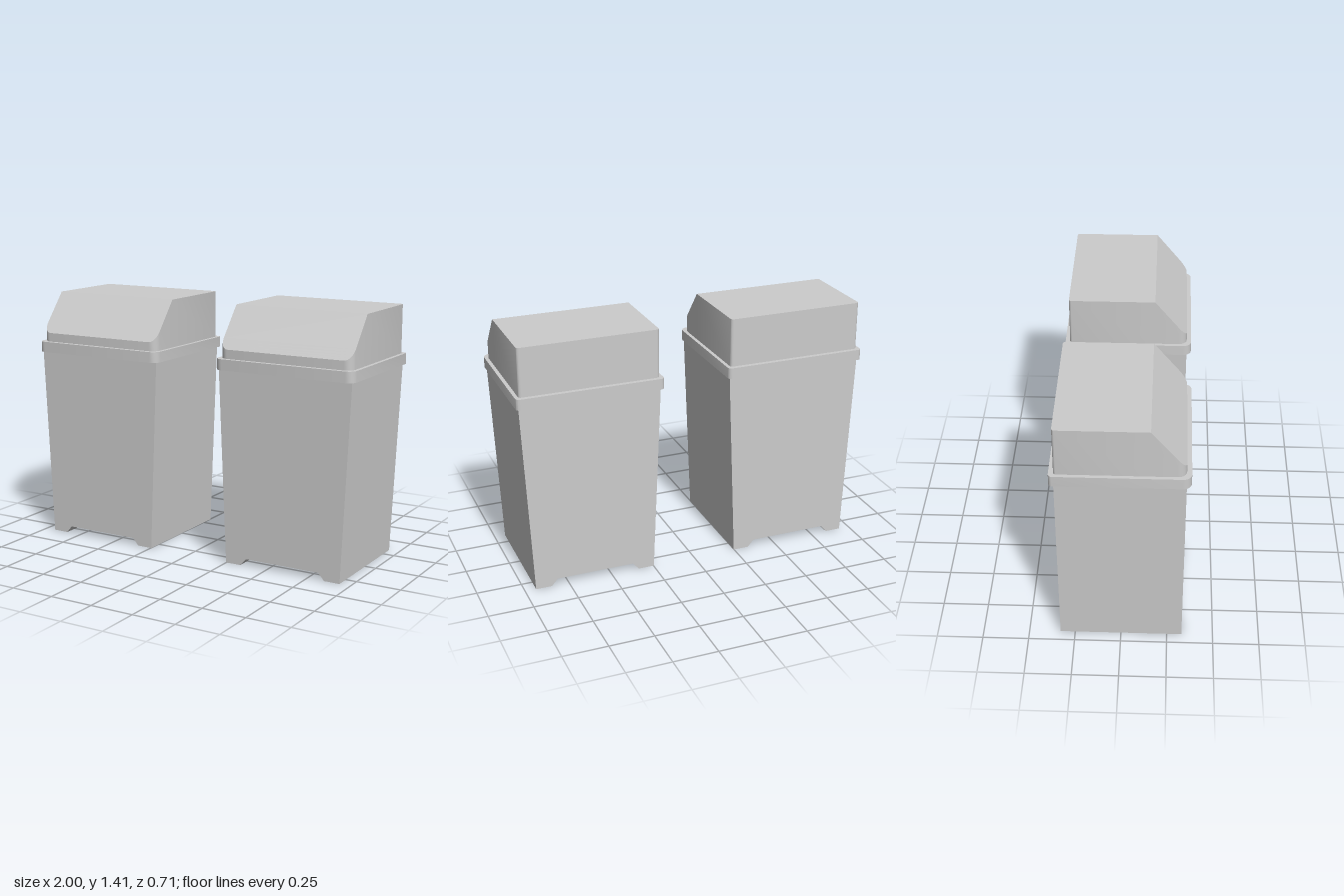
import * as THREE from 'three';
import { toCreasedNormals } from 'three/addons/utils/BufferGeometryUtils.js';

const material = new THREE.MeshStandardMaterial({ color: 0xcccccc });

// Closed block lofted from back to front; rows are [z, halfWidth, topY]
function loft(rows, bottom) {
  const pos = [], index = [];
  rows.forEach(([z, w, top], i) => {
    pos.push(-w, bottom, z, w, bottom, z, w, top, z, -w, top, z);
    if (i === 0) return;
    const p = (i - 1) * 4, q = i * 4;
    for (let j = 0; j < 4; j++) {
      const k = (j + 1) % 4;
      index.push(p + j, p + k, q + k, p + j, q + k, q + j);
    }
  });
  const e = (rows.length - 1) * 4;
  index.push(0, 2, 1, 0, 3, 2, e, e + 1, e + 2, e, e + 2, e + 3);
  const geometry = new THREE.BufferGeometry();
  geometry.setAttribute('position', new THREE.Float32BufferAttribute(pos, 3));
  geometry.setIndex(index);
  return toCreasedNormals(geometry, 0.5);
}

// Rows of a rectangle with rounded corners, extra rows at the given z values
function roundedRows(halfW, halfD, backR, frontR, topAt, breaks = []) {
  const rows = [], steps = 6;
  const add = (z, w) => rows.push([z, w, topAt(z)]);
  for (let i = 0; i <= steps; i++) {
    const a = (i / steps) * Math.PI / 2;
    add(-halfD + backR * (1 - Math.cos(a)), halfW - backR * (1 - Math.sin(a)));
  }
  breaks.forEach((z) => add(z, halfW));
  for (let i = 0; i <= steps; i++) {
    const a = (i / steps) * Math.PI / 2;
    add(halfD - frontR * (1 - Math.sin(a)), halfW - frontR * (1 - Math.cos(a)));
  }
  return rows;
}

// Tapered body with a shallow channel between two feet
function bodyGeometry() {
  const outline = [
    [-0.345, 0], [-0.255, 0], [-0.22, 0.04], [0.22, 0.04],
    [0.255, 0], [0.345, 0], [0.392, 1.08], [-0.392, 1.08],
  ].map(([x, y]) => new THREE.Vector2(x, y));
  return new THREE.ExtrudeGeometry(new THREE.Shape(outline), { depth: 0.66, bevelEnabled: false })
    .translate(0, 0, -0.33);
}

export function createModel() {
  const model = new THREE.Group();
  model.name = 'pairOfBins';

  // Lid top is flat, then slopes down to the front
  const lidTop = (z) => (z <= 0.15 ? 1.41 : 1.41 - (z - 0.15) * (0.22 / 0.18));
  const parts = {
    body: bodyGeometry(),
    rim: loft(roundedRows(0.407, 0.355, 0.022, 0.045, () => 1.14), 1.08),
    lid: loft(roundedRows(0.387, 0.33, 0.016, 0.045, lidTop, [0.15]), 1.14),
  };

  // Two identical bins side by side
  for (const side of [-1, 1]) {
    const bin = new THREE.Group();
    bin.name = side > 0 ? 'leftBin' : 'rightBin';
    for (const [name, geometry] of Object.entries(parts)) {
      const mesh = new THREE.Mesh(geometry, material);
      mesh.name = name;
      bin.add(mesh);
    }
    bin.position.x = side * 0.593;
    model.add(bin);
  }
  return model;
}
